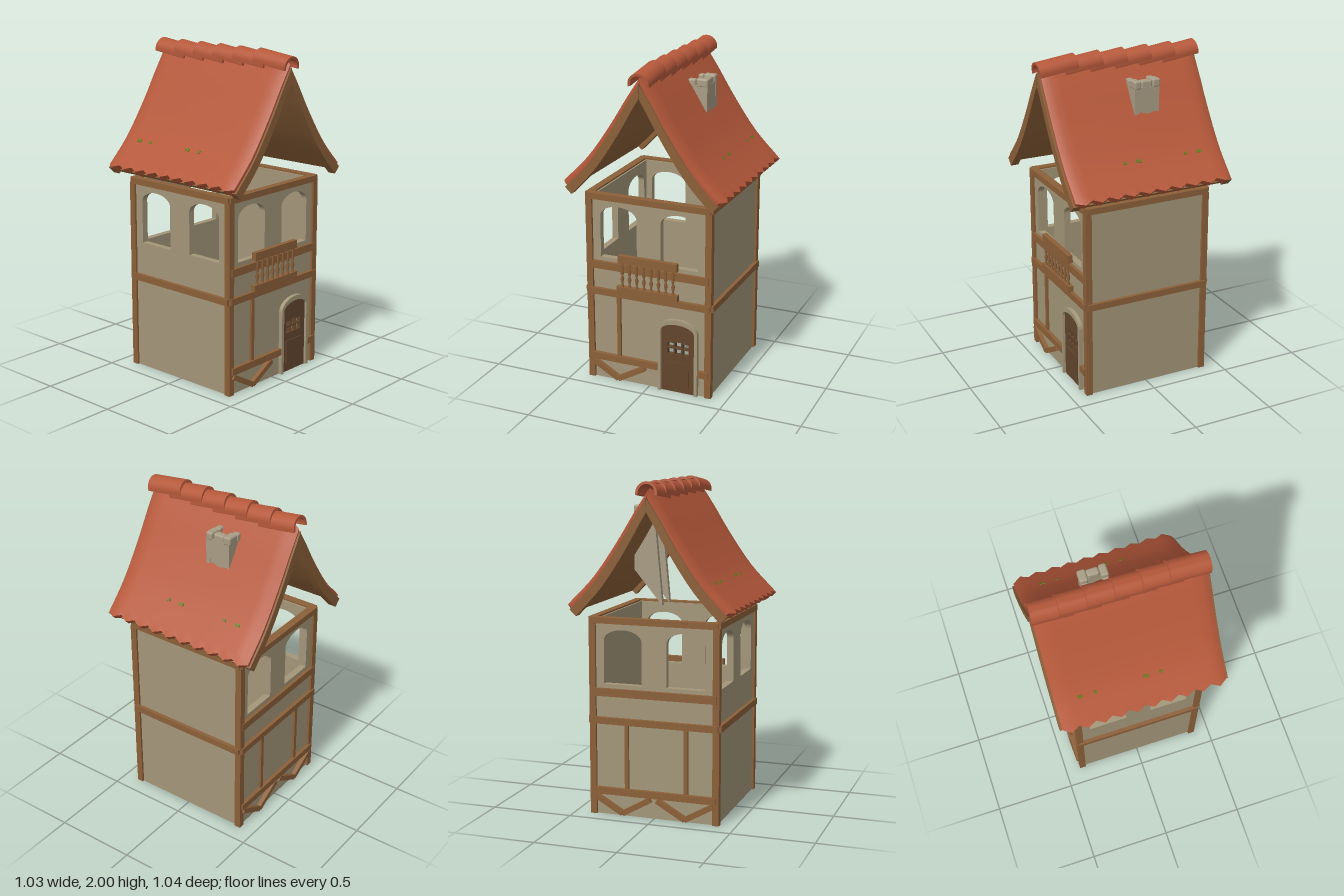
import * as THREE from 'three';
import { toCreasedNormals } from 'three/addons/utils/BufferGeometryUtils.js';
import { RoundedBoxGeometry } from 'three/addons/geometries/RoundedBoxGeometry.js';

const material = (name, color) => {
  const m = new THREE.MeshStandardMaterial({ color });
  m.name = name;
  return m;
};

export function createModel() {
  const plaster = material('plaster', 0xa39679);
  const wood = material('timber', 0x8c6039);
  const doorWood = material('dark door wood', 0x62452d);
  const tile = material('roof tile', 0xb5583a);
  const stone = material('chimney stone', 0xa89c84);
  const moss = material('moss', 0x667a1a);

  const house = new THREE.Group();
  house.name = 'house';
  const group = (name, parent = house) => {
    const g = new THREE.Group();
    g.name = name;
    parent.add(g);
    return g;
  };
  const add = (parent, name, geometry, mat) => {
    const mesh = new THREE.Mesh(geometry, mat);
    mesh.name = name;
    parent.add(mesh);
    return mesh;
  };
  const box = (parent, name, mat, x0, x1, y0, y1, z0, z1) => {
    const mesh = add(parent, name, new THREE.BoxGeometry(x1 - x0, y1 - y0, z1 - z0), mat);
    mesh.position.set((x0 + x1) / 2, (y0 + y1) / 2, (z0 + z1) / 2);
    return mesh;
  };
  const extrude = (shape, depth) =>
    new THREE.ExtrudeGeometry(shape, { depth, bevelEnabled: false, curveSegments: 12 });

  // Arched or square outlines
  const arch = (path, x0, x1, y0, spring, top) => {
    path.moveTo(x0, y0).lineTo(x1, y0).lineTo(x1, spring);
    path.absellipse((x0 + x1) / 2, spring, (x1 - x0) / 2, top - spring, 0, Math.PI, false);
    path.lineTo(x0, y0);
    return path;
  };
  const rect = (path, x0, x1, y0, y1) =>
    path.moveTo(x0, y0).lineTo(x1, y0).lineTo(x1, y1).lineTo(x0, y1).lineTo(x0, y0);

  const wall = (side, name, y0, y1, holes) => {
    const shape = rect(new THREE.Shape(), -0.39, 0.39, y0, y1);
    shape.holes.push(...holes);
    add(side, name, extrude(shape, 0.04), plaster).position.z = 0.35;
  };
  const windows = () => [-0.195, 0.195].map((x) =>
    arch(new THREE.Path(), x - 0.118, x + 0.118, 0.8, 1.06, 1.127));

  // V-shaped braces under the sill beam
  const brace = (side, cx, z) => {
    for (const s of [-1, 1]) {
      const dx = 0.175, dy = 0.1;
      const b = add(side, 'diagonalBrace',
        new THREE.BoxGeometry(Math.hypot(dx, dy), 0.032, 0.03), wood);
      b.position.set(cx + s * dx / 2, 0.018 + dy / 2, z);
      b.rotation.z = s * Math.atan2(dy, dx);
    }
  };

  // Four sides, each built facing +z and turned into place
  const sides = ['front', 'right', 'back', 'left'].map((name, i) => {
    const side = group(name + 'Side');
    side.rotation.y = [0, Math.PI / 2, Math.PI, -Math.PI / 2][i];
    const lowerHoles = i === 0 ? [arch(new THREE.Path(), 0.085, 0.3, 0.002, 0.4, 0.45)] : [];
    wall(side, 'lowerWall', 0, 0.58, lowerHoles);
    wall(side, 'upperWall', 0.58, 1.19, i === 1 ? [] : windows());
    box(side, 'floorBeam', wood, -0.395, 0.395, 0.56, 0.6, 0.365, 0.413);
    box(side, 'topBeam', wood, -0.395, 0.395, 1.163, 1.2, 0.36, 0.408);
    if (i % 2 === 0) box(side, 'windowBeam', wood, -0.385, 0.385, 0.728, 0.775, 0.385, 0.41);
    return side;
  });
  const [front, , back, left] = sides;

  // Corner posts
  const posts = group('cornerPosts');
  for (const sx of [-1, 1]) for (const sz of [-1, 1]) for (const [y0, y1] of [[0, 0.565], [0.595, 1.17]]) {
    const p = box(posts, 'cornerPost', wood, -0.02, 0.02, y0, y1, -0.02, 0.02);
    p.position.x = sx * 0.383;
    p.position.z = sz * 0.385;
  }

  // Lower timber framing
  box(front, 'sillBeam', wood, -0.385, 0.06, 0.128, 0.17, 0.385, 0.415);
  box(front, 'sillBeam', wood, 0.32, 0.385, 0.128, 0.17, 0.385, 0.415);
  box(front, 'stud', wood, -0.207, -0.183, 0.17, 0.56, 0.385, 0.405);
  brace(front, -0.2, 0.402);
  box(back, 'sillBeam', wood, -0.385, 0.385, 0.128, 0.17, 0.385, 0.415);
  for (const x of [-0.17, 0.2]) box(back, 'stud', wood, x - 0.012, x + 0.012, 0.17, 0.56, 0.385, 0.405);
  for (const x of [-0.195, 0.195]) {
    brace(back, x, 0.402);
    brace(left, x, 0.338);
  }
  box(left, 'innerSillBeam', wood, -0.36, 0.36, 0.128, 0.17, 0.33, 0.355);

  // Door with six open panes and an arched surround
  const door = group('door', front);
  const leaf = arch(new THREE.Shape(), 0.085, 0.3, 0, 0.4, 0.45);
  for (let c = 0; c < 3; c++) for (let r = 0; r < 2; r++) {
    const x = 0.124 + c * 0.048, y = 0.248 + r * 0.045;
    leaf.holes.push(rect(new THREE.Path(), x, x + 0.04, y, y + (r === 1 && c !== 1 ? 0.03 : 0.037)));
  }
  add(door, 'doorLeaf', extrude(leaf, 0.03), doorWood).position.z = 0.37;
  box(door, 'doorPanel', doorWood, 0.12, 0.265, 0.05, 0.2, 0.4, 0.407);
  const surround = new THREE.Shape();
  surround.moveTo(0.3, 0).lineTo(0.32, 0).lineTo(0.32, 0.4);
  surround.absellipse(0.1925, 0.4, 0.1275, 0.08, 0, Math.PI, false);
  surround.lineTo(0.065, 0).lineTo(0.085, 0).lineTo(0.085, 0.4);
  surround.absellipse(0.1925, 0.4, 0.1075, 0.05, Math.PI, 0, true);
  add(door, 'doorSurround', extrude(surround, 0.045), plaster).position.z = 0.37;

  // Balcony railing
  const railing = group('railing', front);
  box(railing, 'topRail', wood, -0.19, 0.19, 0.785, 0.835, 0.39, 0.42);
  box(railing, 'bottomRail', wood, -0.2, 0.195, 0.598, 0.637, 0.39, 0.422);
  const baluster = new THREE.LatheGeometry(
    [[0.01, 0], [0.01, 0.015], [0.005, 0.025], [0.012, 0.055], [0.005, 0.08], [0.01, 0.09], [0.01, 0.16]]
      .map(([r, y]) => new THREE.Vector2(r, y)), 8);
  for (let i = 0; i < 8; i++) {
    add(railing, 'baluster', baluster, wood).position.set(-0.165 + i * 0.047, 0.63, 0.409);
  }

  // Flared roof slope: boxes bent along a profile, at a given depth below it
  const profile = new THREE.CatmullRomCurve3(
    [[0, 1.96], [0.1, 1.81], [0.2, 1.65], [0.35, 1.44], [0.503, 1.283]]
      .map(([x, y]) => new THREE.Vector3(x, y, 0)));
  const bend = (top, bottom, z0, z1, { t0 = 0, t1 = 1, wavy = false } = {}) => {
    const rows = wavy ? 20 : 1;
    const g = new THREE.BoxGeometry(1, 1, 1, t1 - t0 > 0.5 ? 16 : 2, 1, rows);
    const pos = g.attributes.position;
    for (let i = 0; i < pos.count; i++) {
      const v = pos.getZ(i) + 0.5;
      const row = Math.round(v * rows);
      const t = t0 + (t1 - t0) * (pos.getX(i) + 0.5);
      let off = (pos.getY(i) > 0 ? top : bottom) * (0.75 + 0.25 * t);
      const p = profile.getPoint(t), d = profile.getTangent(t);
      if (wavy) {
        off += row % 2 ? 0 : 0.008;
        if (row === 0 || row === rows) off += 0.014;
        if (t > 0.99) p.addScaledVector(d, row % 2 ? 0.014 : -0.012);
      }
      let x = p.x + d.y * off, y = p.y - d.x * off;
      if (x < 0) {
        y -= (x / d.x) * d.y;
        x = 0;
      }
      pos.setXYZ(i, x, y, z0 + (z1 - z0) * v);
    }
    return toCreasedNormals(g, 0.6);
  };

  const roof = group('roof');
  for (const s of [1, -1]) {
    const slope = group(s > 0 ? 'rightSlope' : 'leftSlope', roof);
    if (s < 0) slope.rotation.y = Math.PI;
    add(slope, 'tiles', bend(0, 0.04, -0.503, 0.497, { wavy: true }), tile);
    add(slope, 'roofBoards', bend(0.042, 0.065, -0.49, 0.49), wood);
    for (const z of [-0.49, 0.485]) {
      add(slope, 'gableRafter', bend(0.04, 0.095, z - 0.025, z + 0.025), wood);
    }
    // Moss patches
    for (const [z, w] of [[-0.35, 0.03], [-0.26, 0.018], [0.045, 0.03], [0.135, 0.018]]) {
      add(slope, 'mossPatch',
        bend(-0.003, 0.006, s * z - w / 2, s * z + w / 2, { t0: 0.765, t1: 0.785 }), moss);
    }
  }

  // Overlapping ridge tiles, each raised at its back end
  const halfPipe = new THREE.Shape();
  halfPipe.absarc(0, 0, 0.065, -0.2, Math.PI + 0.2, false);
  halfPipe.absarc(0, 0, 0.05, Math.PI + 0.2, -0.2, true);
  const ridgeTile = toCreasedNormals(extrude(halfPipe, 0.24), 0.6);
  for (let k = 0; k < 6; k++) {
    const r = add(roof, 'ridgeTile', ridgeTile, tile);
    r.position.set(0, 1.935, 0.275 - k * 0.157);
    r.rotation.x = 0.125;
  }

  // Hollow chimney that carries on beneath the roof
  const chimney = group('chimney');
  const cheek = new THREE.Shape();
  cheek.moveTo(0.025, 1.25).lineTo(0.2, 1.46).lineTo(0.2, 1.8).lineTo(0.075, 1.8);
  for (const z of [-0.172, -0.043]) {
    add(chimney, 'chimneyCheek', extrude(cheek, 0.03), stone).position.z = z;
  }
  box(chimney, 'chimneyFace', stone, 0.17, 0.198, 1.46, 1.8, -0.172, -0.013);
  for (const [x, y, z, w, d] of [
    [0.165, 1.818, -0.155, 0.075, 0.05], [0.165, 1.815, -0.033, 0.075, 0.045],
    [0.173, 1.813, -0.094, 0.046, 0.072], [0.108, 1.812, -0.157, 0.036, 0.042],
    [0.1, 1.81, -0.032, 0.05, 0.04]]) {
    add(chimney, 'capStone', new RoundedBoxGeometry(w, 0.052, d, 2, 0.012), stone).position.set(x, y, z);
  }

  return house;
}
